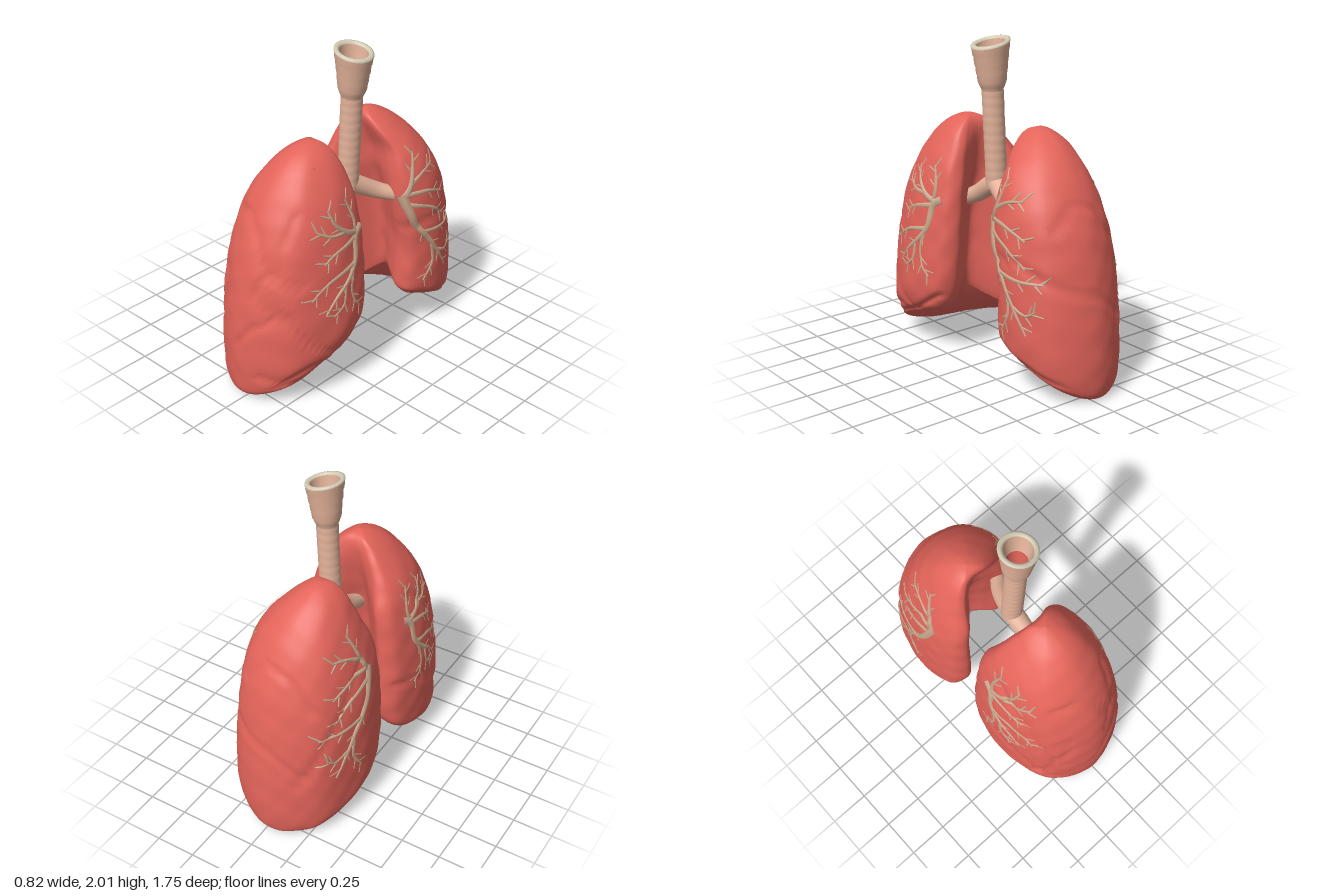
import * as THREE from 'three';

const mat = (name, color, side = THREE.FrontSide) => {
  const m = new THREE.MeshStandardMaterial({ color, side });
  m.name = name;
  return m;
};

// Lung sections: [height 0-1, outer z, -x side, +x side, -x lip z, +x lip z, hollow z, middle x]
const FRONT = [
  [0, .82, -.35, .34, .13, .25, .40, -.02],
  [.03, .86, -.39, .375, .085, .2, .38, -.01],
  [.12, .875, -.40, .40, .065, .15, .36, 0],
  [.3, .87, -.40, .39, .065, .13, .34, 0],
  [.5, .83, -.375, .365, .07, .13, .31, 0],
  [.66, .765, -.335, .33, .08, .14, .27, 0],
  [.8, .655, -.27, .275, .14, .165, .23, .01],
  [.92, .51, -.14, .185, .2, .2, .215, .03],
  [.98, .39, -.04, .1, .24, .24, .24, .03],
  [1, .30, .03, .03, .30, .30, .30, .03]];
const BACK = [
  [0, .82, -.35, .29, .12, .31, .41, -.02],
  [.03, .855, -.39, .325, .075, .29, .40, -.02],
  [.12, .87, -.40, .34, .05, .29, .39, -.02],
  [.3, .855, -.40, .34, .05, .295, .37, -.02],
  [.5, .81, -.385, .335, .065, .25, .34, -.02],
  [.66, .745, -.345, .31, .08, .24, .29, -.02],
  [.8, .63, -.28, .245, .14, .25, .26, -.04],
  [.92, .475, -.2, .11, .19, .21, .22, -.05],
  [.98, .36, -.12, .02, .22, .22, .22, -.05],
  [1, .28, -.05, -.05, .28, .28, .28, -.05]];

// Fissures between the lobes: side of x then [|z|, y] points, or 0 then [x, y] points on the outer face
const FRONT_CREASES = [
  [1, [.8, .13], [.65, .19], [.4, .29], [.2, .42]],
  [1, [.78, .68], [.72, .52], [.63, .41], [.45, .29]],
  [1, [.76, .85], [.74, .9], [.72, 1.0], [.6, 1.2]],
  [-1, [.8, .4], [.7, .62], [.55, .9], [.3, 1.15]],
  [-1, [.75, .15], [.55, .4], [.3, .55], [.1, .6]],
  [0, [-.2, 1.13], [-.08, 1.16], [.04, 1.08], [.1, .95], [.14, .87], [.3, .8]],
  [0, [.13, .86], [.09, .72], [.17, .63], [.28, .6]],
  [0, [-.33, .2], [-.26, .5], [-.16, .68], [-.2, .8]],
  [0, [0, .4], [.08, .52], [.2, .58]],
  [0, [.12, .2], [.25, .17], [.35, .26]]];
const BACK_CREASES = [
  [1, [.28, .31], [.6, .21], [.8, .12]],
  [1, [.28, .79], [.5, .83], [.68, .76]],
  [-1, [.8, .4], [.65, .7], [.45, .95], [.3, 1.1]],
  [0, [-.25, .9], [-.1, 1.1], [.06, 1.14], [.2, 1.0]],
  [0, [-.25, .45], [-.05, .62], [.15, .68], [.3, .75]]];

const { lerp, smoothstep } = THREE.MathUtils;
const segDist = (px, py, [ax, ay], [bx, by]) => {
  const dx = bx - ax, dy = by - ay;
  const k = Math.min(1, Math.max(0, ((px - ax) * dx + (py - ay) * dy) / (dx * dx + dy * dy)));
  return Math.hypot(px - ax - k * dx, py - ay - k * dy);
};
// Slanted underside: rises toward the body's middle and +x, and domes up into the hollow
const baseY = (x, z) => -.008 + .29 * Math.max(0, .83 - z)
  + .16 * (Math.max(0, x + .1) / .48) ** 1.6 + .07 * (Math.max(0, .22 - z) / .15) ** 2
  + .25 * Math.exp(-(((x - .02) / .18) ** 2)) * (1 - smoothstep(z, .4, .76));

function lungGeometry(table, sign, creases) {
  const COLS = 132, ROWS = 80, CAP = 14;
  const columns = [1, 2, 3, 4, 5, 6, 7].map(i =>
    new THREE.SplineCurve(table.map(r => new THREE.Vector2(r[0], r[i]))));
  // Kidney-shaped horizontal section
  const ring = v => {
    const c = columns.map(s => s.getPoint(v));
    const [zo, xl, xr, zl, zr, zn, mx] = c.map(p => p.y);
    const half = (x, tip) => {
      const zc = lerp(zo, tip, .56), at = k => mx + (x - mx) * k;
      return [[at(.72), lerp(zo, zc, .31)], [at(1), zc], [at(.97), lerp(zc, tip, .58)],
        [at(.85), lerp(zc, tip, .91)], [at(.63), tip], [at(.38), lerp(tip, zn, .38)]];
    };
    const pts = [[mx, zo], ...half(xr, zr), [mx, zn], ...half(xl, zl).reverse()];
    const curve = new THREE.CatmullRomCurve3(pts.map(p => new THREE.Vector3(p[0], 0, p[1])), true);
    const t = Math.min(1, c[0].x);
    return Array.from({ length: COLS }, (_, i) => {
      const p = curve.getPoint(i / COLS);
      const b = baseY(p.x, p.z);
      p.y = b + (1.51 - b) * t;
      return p;
    });
  };
  const rings = [], rim = ring(0);
  for (let i = 0; i < CAP; i++) {          // underside
    const s = i / CAP;
    rings.push(rim.map(p => {
      const x = lerp(-.01, p.x, s), z = lerp(.5, p.z, s);
      return new THREE.Vector3(x, baseY(x, z) + .05 * (1 - s ** 3), z);
    }));
  }
  for (let i = 0; i <= ROWS; i++) rings.push(ring(i / ROWS));
  const pos = [], idx = [];
  rings.forEach((row, r) => row.forEach(p => {
    let g = 0;
    if (r >= CAP) {
      for (const [side, ...line] of creases) {
        const fade = side ? smoothstep(p.x * side, .12, .26) : smoothstep(p.z, .4, .55);
        let d = 1;
        for (let i = 0; i + 1 < line.length; i++) d = Math.min(d, segDist(side ? p.z : p.x, p.y, line[i], line[i + 1]));
        g += .014 * fade * Math.exp(-((d / .018) ** 2));
      }
      g += .0025 * Math.sin(p.y * 31 + p.x * 9) * Math.sin(p.z * 27 + p.x * 21);
    }
    const len = Math.hypot(p.x, p.z - .45) || 1;
    pos.push(p.x - g * p.x / len, p.y, sign * (p.z - g * (p.z - .45) / len));
  }));
  for (let r = 0; r + 1 < rings.length; r++) for (let c = 0; c < COLS; c++) {
    const a = r * COLS + c, b = r * COLS + (c + 1) % COLS, d = a + COLS, e = b + COLS;
    if (sign > 0) idx.push(a, b, e, a, e, d);
    else idx.push(a, e, b, a, d, e);
  }
  const geo = new THREE.BufferGeometry();
  geo.setAttribute('position', new THREE.Float32BufferAttribute(pos, 3));
  geo.setIndex(idx);
  geo.computeVertexNormals();
  return geo;
}

// Tube that narrows from r0 to r1
function taperedTube(points, r0, r1, segs = 14, sides = 8) {
  const curve = new THREE.CatmullRomCurve3(points);
  const geo = new THREE.TubeGeometry(curve, segs, 1, sides);
  const p = geo.attributes.position, v = new THREE.Vector3();
  for (let i = 0; i < p.count; i++) {
    const u = Math.floor(i / (sides + 1)) / segs, c = curve.getPointAt(u);
    v.fromBufferAttribute(p, i).sub(c).multiplyScalar(lerp(r0, r1, u)).add(c);
    p.setXYZ(i, v.x, v.y, v.z);
  }
  return geo;
}

// Airway branches on the lung surface: start radius, then [|z|, y] points
const FRONT_TREE = [
  [.036, [.2, 1.02], [.26, .98], [.28, .85], [.36, .75], [.46, .67], [.53, .59]],
  [.03, [.24, 1.0], [.33, 1.04], [.4, 1.11], [.43, 1.2]],
  [.02, [.33, 1.04], [.44, 1.05], [.53, 1.1]],
  [.024, [.27, .98], [.41, .95], [.51, .9]],
  [.023, [.29, .83], [.44, .8], [.55, .75], [.61, .7]],
  [.02, [.29, .85], [.33, .7], [.31, .6], [.26, .54]],
  [.02, [.26, 1.0], [.25, 1.09], [.29, 1.22]],
  [.018, [.38, .73], [.4, .62], [.48, .56]]];
const BACK_TREE = [
  [.038, [.26, 1.02], [.29, .92], [.34, .8], [.43, .68], [.52, .55], [.61, .41]],
  [.027, [.27, 1.0], [.31, 1.1], [.36, 1.27]],
  [.022, [.3, 1.08], [.41, 1.14], [.51, 1.16]],
  [.025, [.27, 1.02], [.42, 1.01], [.57, .95]],
  [.023, [.29, .95], [.45, .89], [.58, .79]],
  [.022, [.38, .74], [.54, .72], [.69, .72]],
  [.02, [.46, .63], [.47, .5], [.4, .38]],
  [.018, [.5, .57], [.6, .53], [.66, .56]]];

function airwayTree(lung, sign, side, branches, material) {
  const tree = new THREE.Group();
  const caster = new THREE.Raycaster();
  // Points are dropped on the surface and sunk in, deepest at the thick end
  const project = (pts, r) => pts.map((q, i) => {
    caster.set(new THREE.Vector3(side, q.y, sign * q.x), new THREE.Vector3(-side, 0, 0));
    const hit = caster.intersectObject(lung)[0];
    const sink = .002 + .55 * r * (1 - i / (pts.length - 1));
    return hit && hit.point.x * side > .08 ? hit.point.add(new THREE.Vector3(-side * sink, 0, 0)) : null;
  }).filter(Boolean);
  const add = (pts, r0, r1, segs) => {
    const path = project(pts, r0);
    if (path.length < 2) return;
    const m = new THREE.Mesh(taperedTube(path, r0, r1, segs, 7), material);
    m.name = 'airwayBranch';
    tree.add(m);
  };
  for (const [r, ...line] of branches) {
    const c = new THREE.SplineCurve(line.map(q => new THREE.Vector2(...q)));
    add(c.getPoints(12), r, .007, 18);
    [.5, .65, .8, .92].forEach((u, i) => {   // side twigs
      const o = c.getPoint(u), dir = c.getTangent(u).rotateAround(new THREE.Vector2(), i % 2 ? .8 : -.8);
      add([0, .025, .05, .07].map(k => o.clone().addScaledVector(dir, k)), .011, .005, 5);
    });
  }
  return tree;
}

export function createModel() {
  const group = new THREE.Group();
  const lungMat = mat('lungRed', 0xe3645a);
  const tracheaMat = mat('tracheaTan', 0xe4b39a, THREE.DoubleSide);
  const treeMat = mat('airwayBeige', 0xcaa78b);
  const rimMat = mat('rimCream', 0xd6cdb5, THREE.DoubleSide);
  const put = (name, geo, m) => {
    const mesh = new THREE.Mesh(geo, m);
    mesh.name = name;
    group.add(mesh);
    return mesh;
  };

  // Lungs with their surface airways
  [['frontLung', FRONT, 1, FRONT_CREASES, FRONT_TREE], ['backLung', BACK, -1, BACK_CREASES, BACK_TREE]]
    .forEach(([name, table, sign, creases, branches]) => {
      const lung = put(name, lungGeometry(table, sign, creases), lungMat);
      for (const side of [1, -1]) {
        const tree = airwayTree(lung, sign, side, branches, treeMat);
        tree.name = name + 'Airways';
        group.add(tree);
      }
    });

  // Trachea: ringed pipe, leaning, with a slanted flared mouth
  const slant = geo => {
    const p = geo.attributes.position;
    for (let i = 0; i < p.count; i++) {
      const x = p.getX(i), y = p.getY(i);
      const k = smoothstep(y, 1.6, 1.97);
      p.setXYZ(i, x + .05 + .05 * (y - 1.1), y - .23 * x * k, p.getZ(i));
    }
    geo.computeVertexNormals();
    return geo;
  };
  const lathe = pts => slant(new THREE.LatheGeometry(pts.map(q => new THREE.Vector2(...q)), 40));
  const pipe = [];
  for (let i = 0; i <= 60; i++) {
    const y = 1.1 + i * .01;
    pipe.push([.064 + .0015 * Math.abs(Math.sin((y - 1.1) * Math.PI / .055)), y]);
  }
  put('trachea', lathe([...pipe, [.074, 1.72], [.085, 1.75], [.088, 1.79], [.092, 1.8], [.095, 1.85],
    [.1, 1.86], [.103, 1.91], [.108, 1.92], [.114, 1.972]]), tracheaMat);
  put('tracheaRim', lathe([[.115, 1.965], [.114, 1.977], [.1, 1.981], [.086, 1.975], [.084, 1.962]]), rimMat);
  put('tracheaInside', lathe([[.084, 1.967], [.076, 1.9], [.062, 1.83]]), tracheaMat);
  put('tracheaLining', lathe([[.062, 1.83], [.056, 1.7], [.05, 1.4], [.045, 1.16], [0, 1.15]]), lungMat);

  // Main bronchi and the fork between them
  const V = (x, y, z) => new THREE.Vector3(x, y, z);
  put('frontBronchus', taperedTube([V(.05, 1.14, -.01), V(.05, 1.09, .08), V(.045, 1.03, .18), V(.05, .96, .34)], .063, .046, 20, 20), tracheaMat);
  put('backBronchus', taperedTube([V(.05, 1.14, .01), V(.075, 1.09, -.08), V(.115, 1.035, -.18), V(.2, .985, -.3)], .063, .043, 20, 20), tracheaMat);
  const fork = put('bronchusFork', new THREE.SphereGeometry(.065, 24, 16, 0, Math.PI * 2, Math.PI / 2, Math.PI / 2), tracheaMat);
  fork.position.set(.05, 1.125, 0);

  // Small pit on the front lung
  const pit = put('surfacePit', new THREE.TorusGeometry(.017, .005, 6, 16), lungMat);
  pit.position.set(.162, 1.4, .42);
  pit.rotation.set(-.6, .75, 0);
  return group;
}
